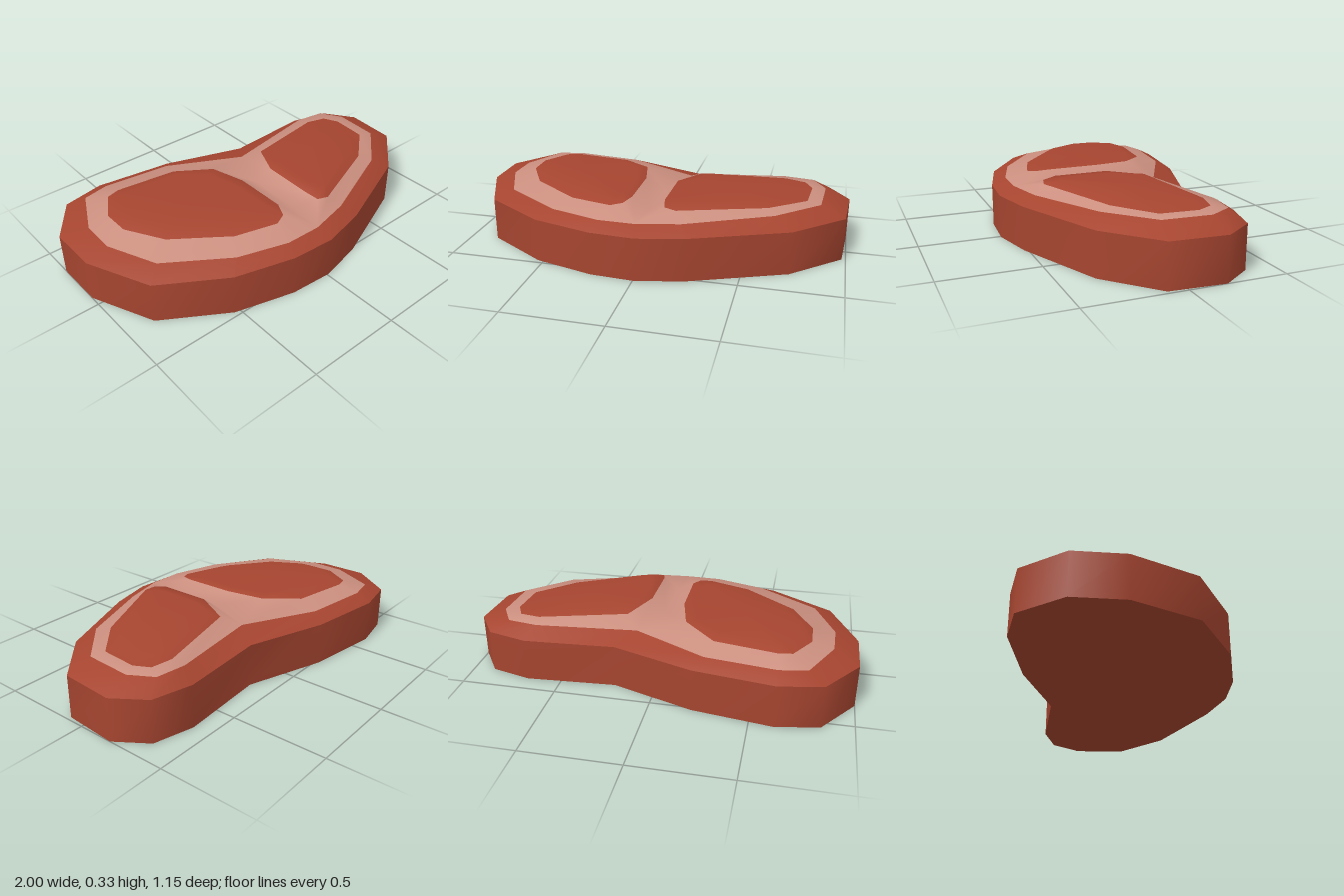
import * as THREE from 'three';

// Outer outline and fat ring, paired [x, z], counter-clockwise seen from above
const outline = [
  [0.21, -0.375], [-0.21, -0.52], [-0.62, -0.58], [-0.84, -0.54], [-1, -0.32], [-1, -0.06],
  [-0.855, 0.27], [-0.53, 0.475], [-0.22, 0.56], [0.01, 0.575], [0.25, 0.52], [0.73, 0.325],
  [0.98, 0.095], [1, -0.19], [0.89, -0.35], [0.68, -0.405],
];
const fatEdge = [
  [0.12, -0.25], [-0.26, -0.45], [-0.62, -0.5], [-0.76, -0.475], [-0.875, -0.24], [-0.88, -0.06],
  [-0.77, 0.2], [-0.46, 0.41], [-0.2, 0.49], [-0.01, 0.495], [0.21, 0.445], [0.64, 0.27],
  [0.855, 0.07], [0.87, -0.18], [0.8, -0.3], [0.64, -0.325],
].map(([x, z]) => [x, x > 0.6 ? 0.28 : 0.265, z]);

// Floor of the groove between the two lobes
const groove = [[0.02, 0.265, 0], [0.01, 0.265, 0.3]];

// Meat lobes: rim points [x, y, z]
const leftRim = [
  [-0.125, 0.315, -0.195], [-0.29, 0.297, -0.34], [-0.61, 0.292, -0.39], [-0.68, 0.29, -0.375],
  [-0.765, 0.29, -0.235], [-0.765, 0.29, -0.09], [-0.655, 0.292, 0.11], [-0.39, 0.295, 0.31],
  [-0.17, 0.3, 0.375], [-0.11, 0.308, 0.35], [-0.08, 0.318, 0.28], [-0.08, 0.32, 0],
];
const rightRim = [
  [0.19, 0.312, -0.165], [0.1, 0.327, 0.02], [0.095, 0.325, 0.3], [0.11, 0.313, 0.37],
  [0.17, 0.307, 0.385], [0.6, 0.292, 0.205], [0.785, 0.286, 0.045], [0.8, 0.286, -0.15],
  [0.76, 0.287, -0.23], [0.65, 0.292, -0.255],
];

// Indexed surface that shares corners, so normals stay smooth across colours
function surface() {
  const points = [], index = [], lookup = new Map(), geometry = new THREE.BufferGeometry();
  const id = (p) => {
    const key = p.join();
    if (!lookup.has(key)) {
      lookup.set(key, points.length / 3);
      points.push(...p);
    }
    return lookup.get(key);
  };
  const tri = (...corners) => index.push(...corners.map(id));
  return {
    strip(a, b) {
      a.forEach((p, i) => {
        const j = (i + 1) % a.length;
        tri(p, a[j], b[j]);
        tri(p, b[j], b[i]);
      });
    },
    fan(loop, centre) {
      loop.forEach((p, i) => tri(p, loop[(i + 1) % loop.length], centre));
    },
    paint(slot, build) {
      const start = index.length;
      build();
      geometry.addGroup(start, index.length - start, slot);
    },
    finish() {
      geometry.setAttribute('position', new THREE.Float32BufferAttribute(points, 3));
      geometry.setIndex(index);
      geometry.computeVertexNormals();
      return geometry;
    },
  };
}

export function createModel() {
  const meat = new THREE.MeshStandardMaterial({ color: 0xa64530 });
  meat.name = 'meat red';
  const fat = new THREE.MeshStandardMaterial({ color: 0xcb8f7f });
  fat.name = 'fat pink';

  const group = new THREE.Group();
  group.name = 'steak';
  const add = (name, geometry, material) => {
    const mesh = new THREE.Mesh(geometry, material);
    mesh.name = name;
    group.add(mesh);
  };
  const level = (y) => outline.map(([x, z]) => [x, y, z]);

  // Side wall
  const wall = surface();
  wall.strip(level(0), level(0.225));
  add('sideWall', wall.finish(), meat);

  // Flat underside
  const shape = new THREE.Shape(outline.map(([x, z]) => new THREE.Vector2(x, z)));
  add('underside', new THREE.ShapeGeometry(shape).rotateX(Math.PI / 2), meat);

  // Top: sloping border, fat ring with groove, and two domed lobes
  const top = surface();
  const lobe = (rim, [cx, cz], height) => {
    const inset = rim.map(([x, , z]) => {
      const px = cx + (x - cx) * 0.8, pz = cz + (z - cz) * 0.8;
      return [px, height(px), pz];
    });
    top.strip(rim, inset);
    top.fan(inset, [cx, height(cx), cz]);
  };
  top.paint(0, () => {
    top.strip(level(0.225), fatEdge);
    lobe(leftRim, [-0.4, -0.02], () => 0.32);
    lobe(rightRim, [0.42, 0.02], (x) => 0.33 - Math.max(0, x - 0.43) * 0.11);
  });
  top.paint(1, () => {
    top.strip([...fatEdge.slice(0, 10), groove[1], groove[0]], leftRim);
    top.strip([fatEdge[0], ...groove, ...fatEdge.slice(9)], rightRim);
  });
  add('marbledTop', top.finish(), [meat, fat]);

  return group;
}
